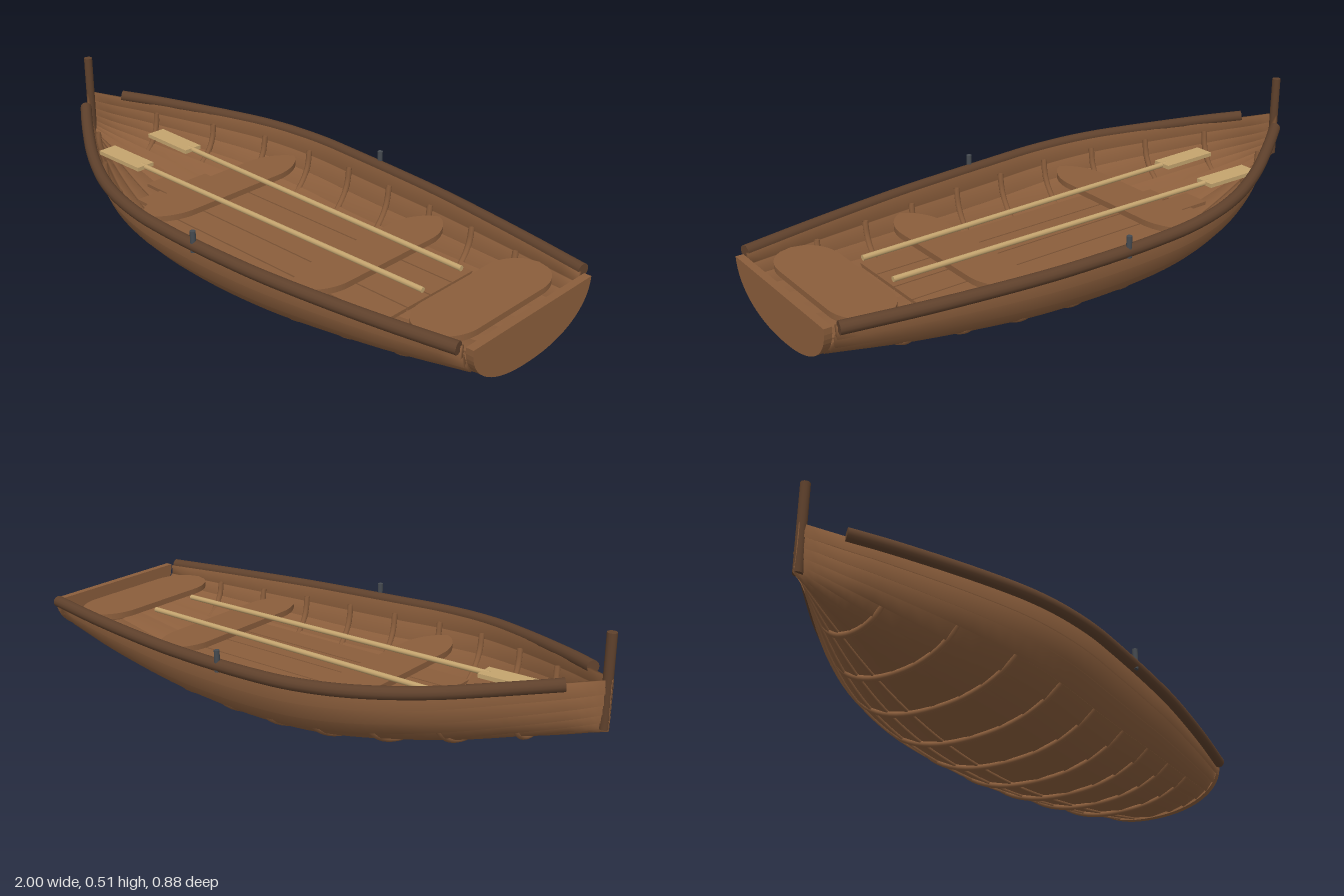
import * as THREE from 'three';

const mat = (name, color, side = THREE.FrontSide) => {
  const m = new THREE.MeshStandardMaterial({ color, side });
  m.name = name;
  return m;
};

// Hull lines: x, sheer height, half width, keel height
const STATIONS = [
  [-1.0, 0.376, 0.004, 0.228], [-0.9, 0.362, 0.072, 0.197], [-0.8, 0.35, 0.142, 0.169],
  [-0.6, 0.325, 0.268, 0.117], [-0.4, 0.308, 0.36, 0.076], [-0.2, 0.295, 0.402, 0.044],
  [0.0, 0.286, 0.405, 0.026], [0.2, 0.281, 0.396, 0.025], [0.4, 0.278, 0.378, 0.04],
  [0.7, 0.275, 0.332, 0.078], [0.965, 0.274, 0.28, 0.126],
];
const sheer = new THREE.CatmullRomCurve3(STATIONS.map(s => new THREE.Vector3(s[0], s[1], s[2])), false, 'catmullrom');
const keel = new THREE.CatmullRomCurve3(STATIONS.map(s => new THREE.Vector3(s[0], s[3], 0)), false, 'catmullrom');

function station(t) {
  const a = sheer.getPoint(t), b = keel.getPoint(t);
  return { x: a.x, top: a.y, w: Math.max(0, a.z), low: b.y };
}

function stationAt(x) {
  let lo = 0, hi = 1;
  for (let i = 0; i < 30; i++) {
    const m = (lo + hi) / 2;
    if (sheer.getPoint(m).x < x) lo = m; else hi = m;
  }
  return station(lo);
}

// Point on the rounded section: u = 0 at keel, 1 at sheer
function sectionPoint(s, u, off, side) {
  const a = u * Math.PI / 2, p = 0.9;
  const sn = Math.sin(a), cs = Math.max(0, Math.cos(a));
  const z = Math.max(0, s.w * Math.pow(sn, p) + off * sn * Math.min(1, s.w / 0.05));
  const y = s.low + (s.top - s.low) * (1 - Math.pow(cs, p)) - off * cs;
  return new THREE.Vector3(s.x, y, z * side);
}

// Closed, softly shaded solid skinned through rows of section points
function loft(rows) {
  const n = rows[0].length, pos = [], idx = [];
  rows.forEach(r => r.forEach(v => pos.push(v.x, v.y, v.z)));
  for (let i = 0; i < rows.length - 1; i++) for (let j = 0; j < n; j++) {
    const a = i * n + j, b = i * n + (j + 1) % n, c = b + n, d = a + n;
    idx.push(a, d, b, b, d, c);
  }
  const e = (rows.length - 1) * n;
  for (let j = 1; j < n - 1; j++) idx.push(0, j, j + 1, e, e + j + 1, e + j);
  const g = new THREE.BufferGeometry();
  g.setAttribute('position', new THREE.Float32BufferAttribute(pos, 3));
  g.setIndex(idx);
  g.computeVertexNormals();
  return g;
}

export function createModel() {
  const root = new THREE.Group();
  root.name = 'rowingBoat';
  const wood = mat('plankWood', 0x8b5e3c, THREE.DoubleSide);
  const dark = mat('darkWood', 0x5f412c);
  const tan = mat('oarWood', 0xc4a46e);
  const metal = mat('metal', 0x454a50);

  const add = (name, geo, material, parent = root) => {
    const m = new THREE.Mesh(geo, material);
    m.name = name;
    parent.add(m);
    return m;
  };
  const group = name => {
    const g = new THREE.Group();
    g.name = name;
    root.add(g);
    return g;
  };

  // Overlapping hull planks
  const hull = group('hullPlanks');
  const PLANKS = 7, STEPS = 40;
  for (const side of [1, -1]) for (let i = 0; i < PLANKS; i++) {
    const u0 = i / PLANKS, u1 = Math.min(1, (i + 1.12) / PLANKS);
    const rows = [];
    for (let k = 0; k <= STEPS; k++) {
      const s = station(k / STEPS);
      const r = [[u0, 0.009], [u1, 0.001], [u1, -0.01], [u0, -0.002]]
        .map(([u, o]) => sectionPoint(s, u, o, side));
      rows.push(side > 0 ? r : r.reverse());
    }
    add('plank', loft(rows), wood, hull);
  }

  // Bent ribs
  const ribs = group('ribs');
  for (let i = 0; i < 9; i++) {
    const s = stationAt(-0.765 + i * 0.187);
    s.w -= 0.031;
    s.top -= 0.03;
    s.low -= 0.012;
    const pts = [];
    for (let k = -8; k <= 8; k++) pts.push(sectionPoint(s, Math.abs(k) / 8, 0, k < 0 ? -1 : 1));
    add('rib', new THREE.TubeGeometry(new THREE.CatmullRomCurve3(pts), 32, 0.01, 8), wood, ribs);
  }

  // Gunwales with end caps, and rowlock pins
  for (const side of [1, -1]) {
    const pts = [];
    for (let k = 0; k <= 20; k++) {
      const s = stationAt(-0.9 + k * 1.864 / 20);
      pts.push(new THREE.Vector3(s.x, s.top, side * (s.w + 0.012)));
    }
    const rail = group(side > 0 ? 'frontGunwale' : 'backGunwale');
    add('rail', new THREE.TubeGeometry(new THREE.CatmullRomCurve3(pts), 60, 0.02, 12), dark, rail);
    [[0, 1], [20, 19]].forEach(([e, n]) => {
      const cap = add('railEnd', new THREE.CircleGeometry(0.02, 12), dark, rail);
      cap.position.copy(pts[e]);
      cap.lookAt(pts[e].clone().multiplyScalar(2).sub(pts[n]));
    });
    const pin = add('rowlockPin', new THREE.CylinderGeometry(0.009, 0.009, 0.07, 10), metal);
    pin.position.set(0.08, 0.3, side * 0.422);
  }

  // Stem post
  add('stemPost', new THREE.CylinderGeometry(0.015, 0.015, 0.285, 12), dark).position.set(-0.985, 0.3675, 0);

  // Transom
  const tr = new THREE.Shape();
  tr.moveTo(-0.277, 0.275);
  for (let k = -16; k <= 16; k++) {
    const a = Math.abs(k) / 16 * Math.PI / 2;
    tr.lineTo(Math.sign(k) * 0.277 * Math.pow(Math.sin(a), 0.9),
      0.275 - 0.157 * Math.pow(Math.max(0, Math.cos(a)), 0.9));
  }
  const trGeo = new THREE.ExtrudeGeometry(tr, { depth: 0.024, bevelEnabled: false });
  trGeo.rotateY(Math.PI / 2);
  add('transom', trGeo, wood).position.x = 0.976;

  // Seats: straight sides with ends narrowing by a rounded rule
  const seat = (name, x, top, halfX, halfZ, straight, power) => {
    const sh = new THREE.Shape();
    const pts = [];
    for (let k = 0; k <= 12; k++) {
      const f = k / 12;
      pts.push([halfX * Math.pow(Math.max(0, 1 - f * f), power), straight + (halfZ - straight) * f]);
    }
    const loop = [...pts, ...pts.slice().reverse().map(([a, b]) => [-a, b]),
      ...pts.map(([a, b]) => [-a, -b]), ...pts.slice().reverse().map(([a, b]) => [a, -b])];
    sh.setFromPoints(loop.map(p => new THREE.Vector2(...p)));
    const g = new THREE.ExtrudeGeometry(sh, { depth: 0.02, bevelEnabled: false });
    g.rotateX(Math.PI / 2);
    add(name, g, wood).position.set(x, top, 0);
  };
  seat('forwardThwart', -0.255, 0.238, 0.078, 0.345, 0.19, 0.75);
  seat('middleThwart', 0.415, 0.238, 0.078, 0.33, 0.19, 0.75);
  seat('sternSeat', 0.828, 0.255, 0.097, 0.275, 0.15, 0.5);

  // Floorboards, the outer pair shorter where the hull narrows
  const floor = group('floorboards');
  for (let i = -2; i <= 2; i++) {
    const len = [1.21, 1.13, 1.0][Math.abs(i)];
    const b = add('floorboard', new THREE.BoxGeometry(len, 0.012, 0.1), wood, floor);
    b.position.set(0.605 - len / 2, 0.135, i * 0.106);
  }

  // Oars resting on the thwarts
  for (const side of [1, -1]) {
    const oar = group(side > 0 ? 'frontOar' : 'backOar');
    oar.position.set(0, 0.248, side * 0.1);
    oar.rotation.y = side * 0.016;
    const shaft = add('shaft', new THREE.CylinderGeometry(0.009, 0.009, 1.24, 10), tan, oar);
    shaft.rotation.z = Math.PI / 2;
    shaft.position.x = 0.065;
    add('blade', new THREE.BoxGeometry(0.215, 0.014, 0.07), tan, oar).position.x = -0.64;
  }
  return root;
}
